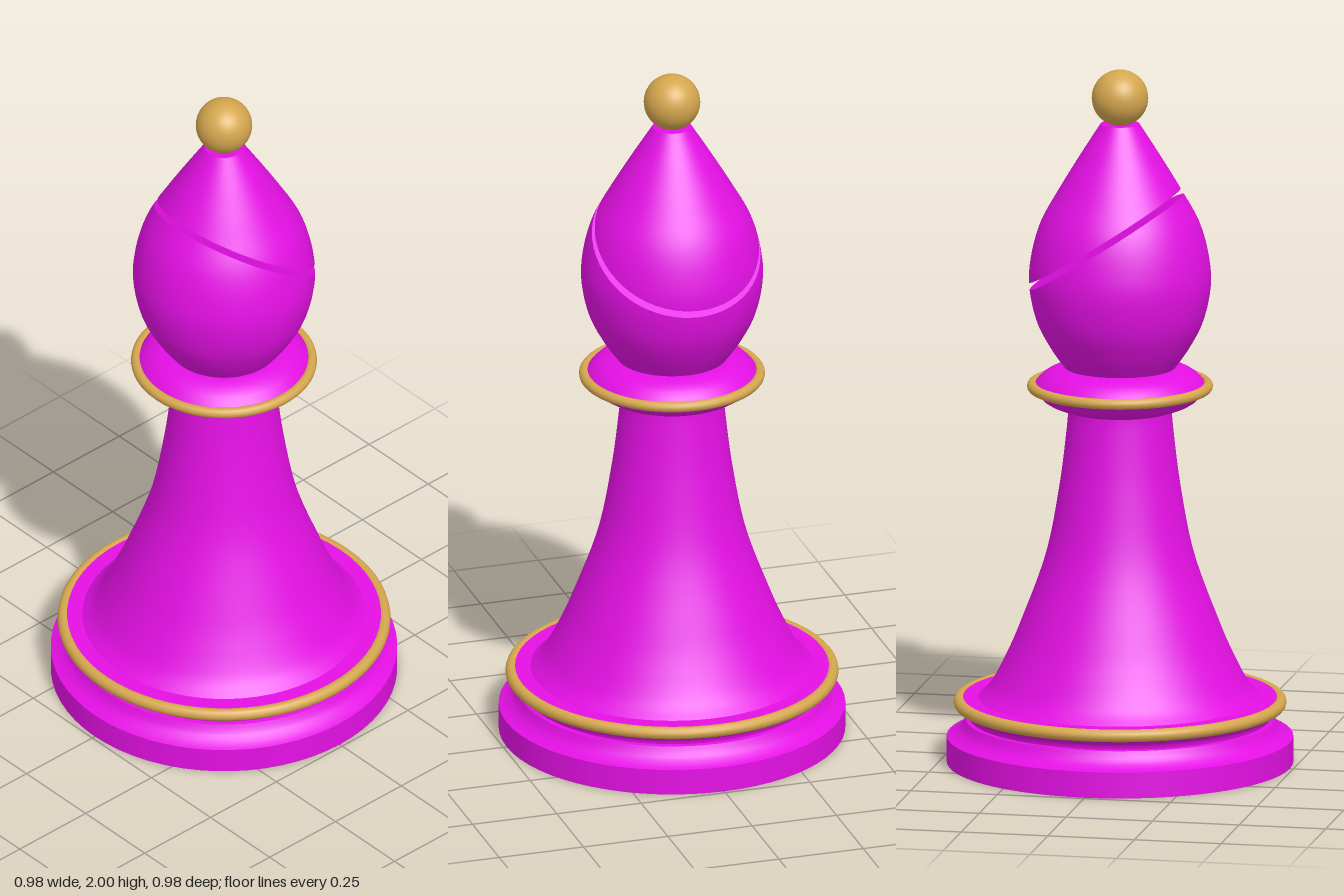
import * as THREE from 'three';
import { ParametricGeometry } from 'three/addons/geometries/ParametricGeometry.js';

const SIDES = 64;

// Smooth curve through [radius, height] points
const spline = (pts) => new THREE.SplineCurve(pts.map(([r, y]) => new THREE.Vector2(r, y)));

// Slanted cut through the head: y = CUT_Y + CUT_SLOPE * z
const CUT_SLOPE = 0.644, CUT_Y = 1.537, HALF_GAP = 0.011;
const headProfile = spline([
  [0.155, 1.14], [0.197, 1.2], [0.237, 1.28], [0.257, 1.38], [0.25, 1.47],
  [0.224, 1.56], [0.175, 1.65], [0.115, 1.75], [0.055, 1.845],
]);

// Profile parameter at which the cut meets the head, for one angle
function cutAt(angle, offset) {
  let lo = 0, hi = 1;
  for (let i = 0; i < 26; i++) {
    const t = (lo + hi) / 2, p = headProfile.getPoint(t);
    if (p.y < CUT_Y + offset + CUT_SLOPE * p.x * Math.cos(angle)) lo = t;
    else hi = t;
  }
  return (lo + hi) / 2;
}

function headPoint(angle, t, target) {
  const p = headProfile.getPoint(t);
  return target.set(p.x * Math.sin(angle), p.y, p.x * Math.cos(angle));
}

// Curved wall of the head above or below the cut
function headWall(upper) {
  const offset = upper ? HALF_GAP : -HALF_GAP;
  return new ParametricGeometry((u, v, target) => {
    const angle = u * Math.PI * 2, cut = cutAt(angle, offset);
    headPoint(angle, upper ? cut + (1 - cut) * v : cut * v, target);
  }, SIDES, 20);
}

// Flat face of the cut, facing down on the upper part and up on the lower
function cutFace(upper) {
  const offset = upper ? HALF_GAP : -HALF_GAP;
  const centre = new THREE.Vector3(0, CUT_Y + offset, 0);
  const geometry = new ParametricGeometry((u, v, target) => {
    const angle = (upper ? u : -u) * Math.PI * 2;
    headPoint(angle, cutAt(angle, offset), target).sub(centre).multiplyScalar(v).add(centre);
  }, SIDES, 1);
  geometry.computeVertexNormals();
  return geometry;
}

export function createModel() {
  const model = new THREE.Group();
  model.name = 'bishop';
  const magenta = new THREE.MeshStandardMaterial({ color: 0xe410e4 });
  magenta.name = 'magenta';
  const gold = new THREE.MeshStandardMaterial({ color: 0xd4a64e });
  gold.name = 'gold';

  const add = (name, geometry, material, y = 0) => {
    const mesh = new THREE.Mesh(geometry, material);
    mesh.name = name;
    mesh.position.y = y;
    model.add(mesh);
    return mesh;
  };
  const turned = (name, pts, steps) => {
    const points = steps ? spline(pts).getPoints(steps) : pts.map(([r, y]) => new THREE.Vector2(r, y));
    return add(name, new THREE.LatheGeometry(points, SIDES), magenta);
  };
  const ring = (name, radius, tube, y) =>
    add(name, new THREE.TorusGeometry(radius, tube, 14, SIDES), gold, y).rotation.x = Math.PI / 2;

  // Base: separate bands keep the edges between them crisp
  turned('baseBottom', [[0, 0], [0.49, 0]]);
  turned('baseWall', [[0.49, 0], [0.49, 0.075]]);
  turned('baseShoulder', [[0.49, 0.075], [0.472, 0.083], [0.45, 0.1], [0.437, 0.125]], 8);
  turned('baseLedge', [[0.437, 0.125], [0.425, 0.127]]);
  turned('baseNeck', [[0.425, 0.127], [0.43, 0.142], [0.45, 0.16]], 6);
  turned('baseTop', [[0.45, 0.188], [0.39, 0.188]]);
  ring('baseRing', 0.453, 0.018, 0.173);

  // Flared stem
  turned('stem', [
    [0.4, 0.188], [0.365, 0.225], [0.325, 0.3], [0.282, 0.4], [0.21, 0.6],
    [0.171, 0.8], [0.15, 0.97], [0.146, 1.03],
  ], 36);

  // Collar
  turned('collarUnderside', [[0.14, 1.02], [0.16, 1.023], [0.212, 1.045], [0.25, 1.085]], 10);
  turned('collarTop', [[0.25, 1.085], [0.215, 1.122], [0.165, 1.142], [0.1, 1.145]], 10);
  ring('collarRing', 0.248, 0.015, 1.087);

  // Head, split by the slanted cut
  add('headLower', headWall(false), magenta);
  add('headLowerCut', cutFace(false), magenta);
  add('headUpper', headWall(true), magenta);
  add('headUpperCut', cutFace(true), magenta);
  turned('headTop', [[0.055, 1.845], [0, 1.845]]);

  // Ball on top
  add('finial', new THREE.SphereGeometry(0.08, 40, 28), gold, 1.92);

  return model;
}
